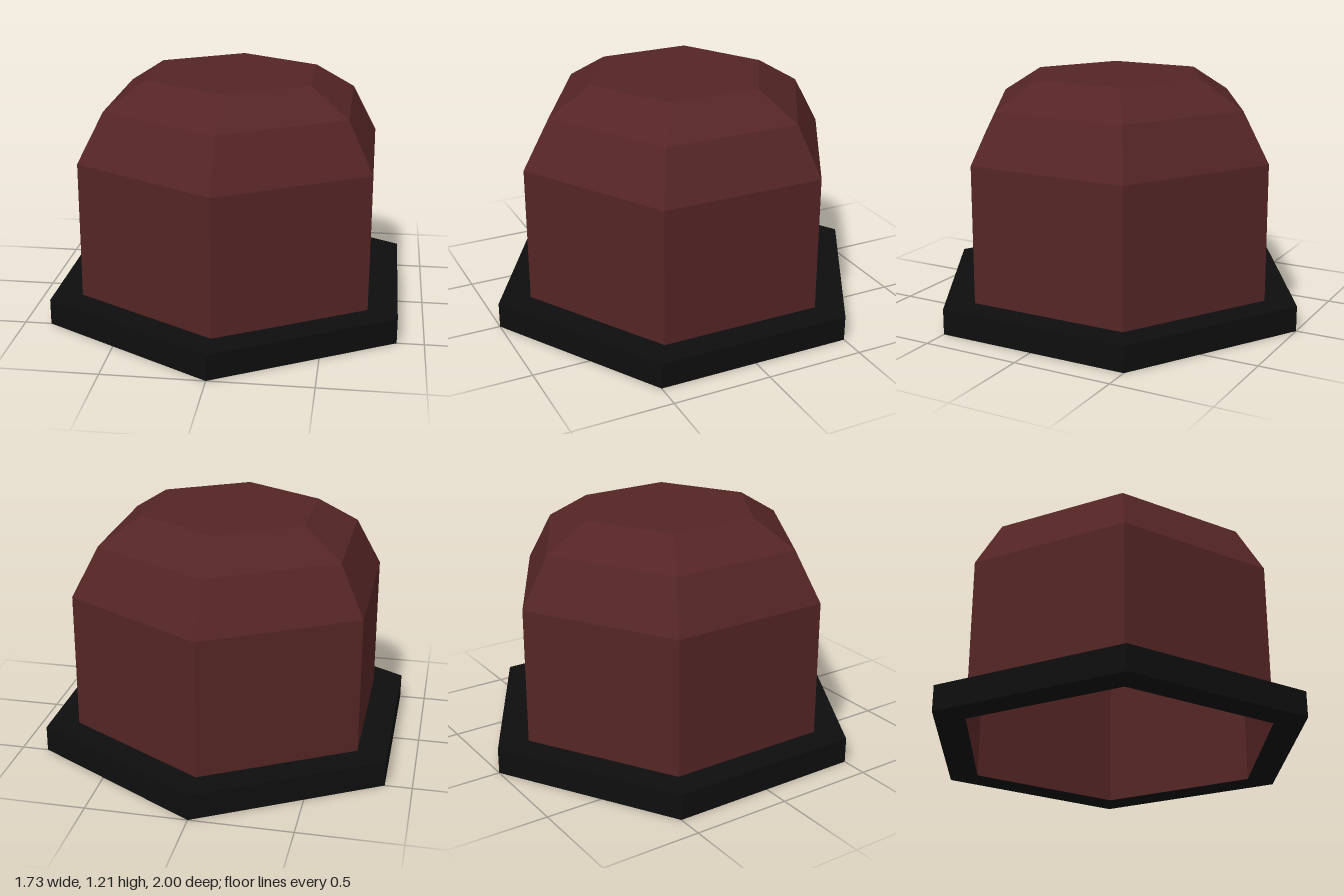
import * as THREE from 'three';

const SIDES = 6;

// Six-sided solid of revolution; profile is [radius, height] from bottom to top
function hexLathe(name, profile, material) {
  const points = profile.map(([r, y]) => new THREE.Vector2(r, y));
  const geometry = new THREE.LatheGeometry(points, SIDES).toNonIndexed();
  geometry.computeVertexNormals(); // flat facets
  const mesh = new THREE.Mesh(geometry, material);
  mesh.name = name;
  return mesh;
}

export function createModel() {
  const darkRed = new THREE.MeshStandardMaterial({ color: 0x552525, side: THREE.DoubleSide });
  darkRed.name = 'dark red';
  const black = new THREE.MeshStandardMaterial({ color: 0x0e0e0e });
  black.name = 'black';

  const model = new THREE.Group();
  model.name = 'hexagonalDome';

  // Hollow dome, open at the bottom
  model.add(hexLathe('dome', [[0.83, 0], [0.83, 0.825], [0.69, 1.075], [0.467, 1.21], [0, 1.21]], darkRed));

  // Flat rim around the foot of the dome
  model.add(hexLathe('rim', [[0.83, 0], [1, 0], [1, 0.13], [0.83, 0.13]], black));

  return model;
}
